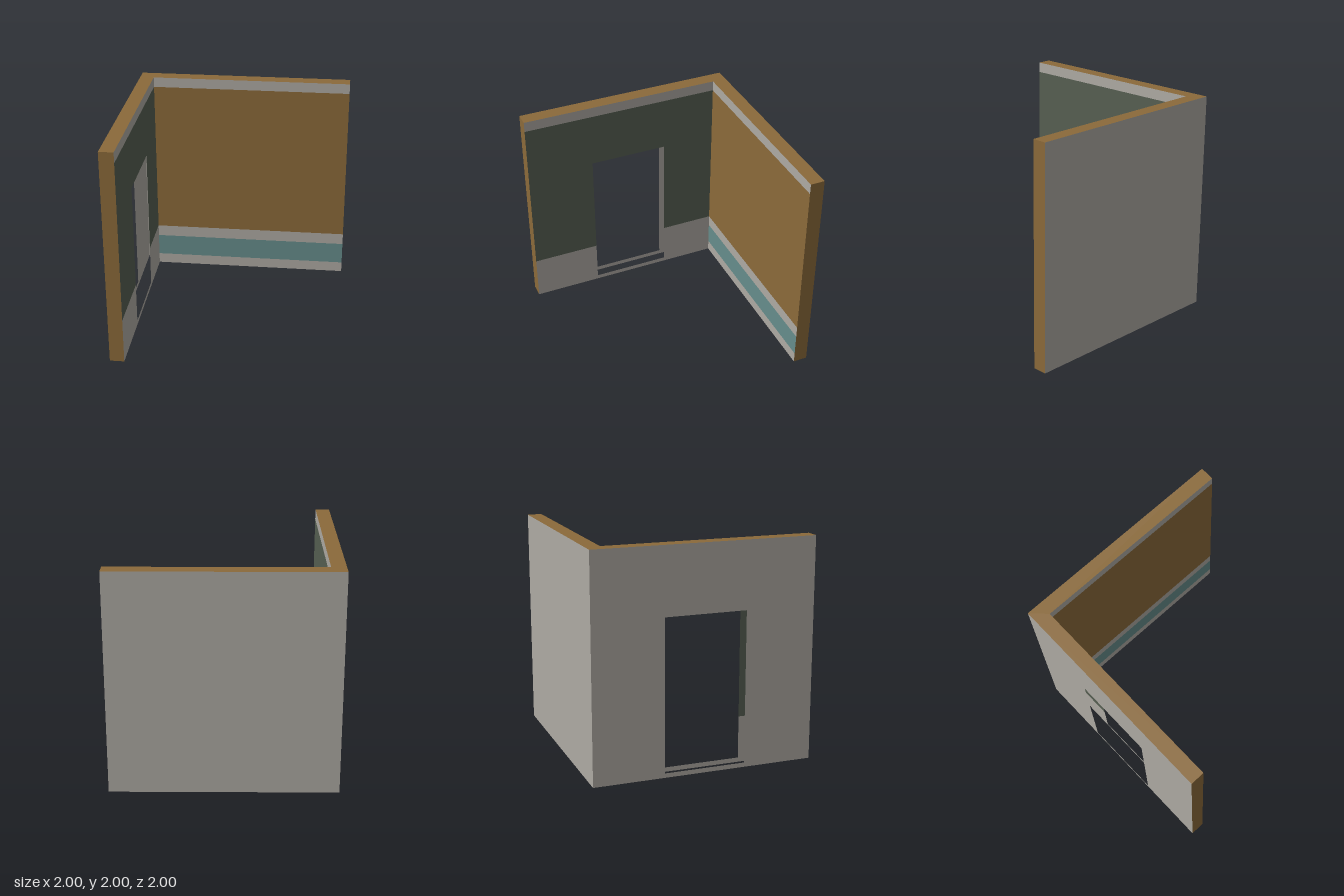
import * as THREE from 'three';

const OUT = 1, IN = -0.87;           // outer extent and inner wall plane
const DOOR = { z0: -0.365, z1: 0.37, y0: 0.04, y1: 1.4 };
const BAND = { skirt: 0.1, stripe: 0.31, dado: 0.42, crown: 1.905, top: 2 };

function material(name, color) {
  const m = new THREE.MeshStandardMaterial({ color, side: THREE.DoubleSide });
  m.name = name;
  return m;
}

const shapeOf = (points) => new THREE.Shape(points.map(([x, y]) => new THREE.Vector2(x, y)));
const rect = (x0, x1, y0, y1) => [[x0, y0], [x1, y0], [x1, y1], [x0, y1]];

export function createModel() {
  const model = new THREE.Group();
  model.name = 'roomCorner';
  const wood = material('ochreBrown', 0x8b6a3a);
  const plaster = material('warmGrey', 0xaeaaa3);
  const green = material('darkGreen', 0x565f52);
  const teal = material('teal', 0x668d8b);

  // flat sheet drawn in x and y, then turned and moved into its plane
  function sheet(name, mat, shape, turn, x, y, z, tilt = 0) {
    const geometry = new THREE.ShapeGeometry(shape);
    geometry.rotateX(tilt).rotateY(turn).translate(x, y, z);
    const mesh = new THREE.Mesh(geometry, mat);
    mesh.name = name;
    model.add(mesh);
  }

  // outer skins of the hollow walls
  sheet('backWallOuter', plaster, shapeOf(rect(-OUT, OUT, 0, 2)), Math.PI, 0, 0, -OUT);
  const outerSide = shapeOf(rect(-OUT, OUT, 0, 2));
  outerSide.holes.push(shapeOf(rect(DOOR.z0, DOOR.z1, DOOR.y0, DOOR.y1)));
  sheet('doorWallOuter', plaster, outerSide, -Math.PI / 2, -OUT, 0, 0);

  // painted bands on the inside of the back wall
  const bands = [
    ['skirting', plaster, 0, BAND.skirt],
    ['tealStripe', teal, BAND.skirt, BAND.stripe],
    ['dadoRail', plaster, BAND.stripe, BAND.dado],
    ['woodPanel', wood, BAND.dado, BAND.crown],
    ['crownBand', plaster, BAND.crown, BAND.top],
  ];
  for (const [name, mat, y0, y1] of bands) {
    sheet(name, mat, shapeOf(rect(IN, OUT, y0, y1)), 0, 0, 0, IN);
  }

  // inside of the door wall, drawn with x = -z so that it faces +x
  const a = -OUT, b = -IN, d0 = -DOOR.z1, d1 = -DOOR.z0;
  const inner = (name, mat, points) => sheet(name, mat, shapeOf(points), Math.PI / 2, IN, 0, 0);
  inner('doorWallLower', plaster, [
    [a, 0], [b, 0], [b, BAND.dado], [d1, BAND.dado],
    [d1, DOOR.y0], [d0, DOOR.y0], [d0, BAND.dado], [a, BAND.dado],
  ]);
  inner('doorWallGreen', green, [
    [a, BAND.dado], [d0, BAND.dado], [d0, DOOR.y1], [d1, DOOR.y1],
    [d1, BAND.dado], [b, BAND.dado], [b, BAND.crown], [a, BAND.crown],
  ]);
  inner('doorWallCrown', plaster, rect(a, b, BAND.crown, BAND.top));

  // L-shaped top edge, drawn with y = -z
  sheet('topEdge', wood, shapeOf([
    [-OUT, -OUT], [IN, -OUT], [IN, -IN], [OUT, -IN], [OUT, OUT], [-OUT, OUT],
  ]), 0, 0, 2, 0, -Math.PI / 2);

  // end caps; the undersides and the door reveal stay open
  sheet('doorWallEnd', wood, shapeOf(rect(-OUT, IN, 0, 2)), 0, 0, 0, OUT);
  sheet('backWallEnd', wood, shapeOf(rect(-IN, OUT, 0, 2)), Math.PI / 2, OUT, 0, 0);

  return model;
}
